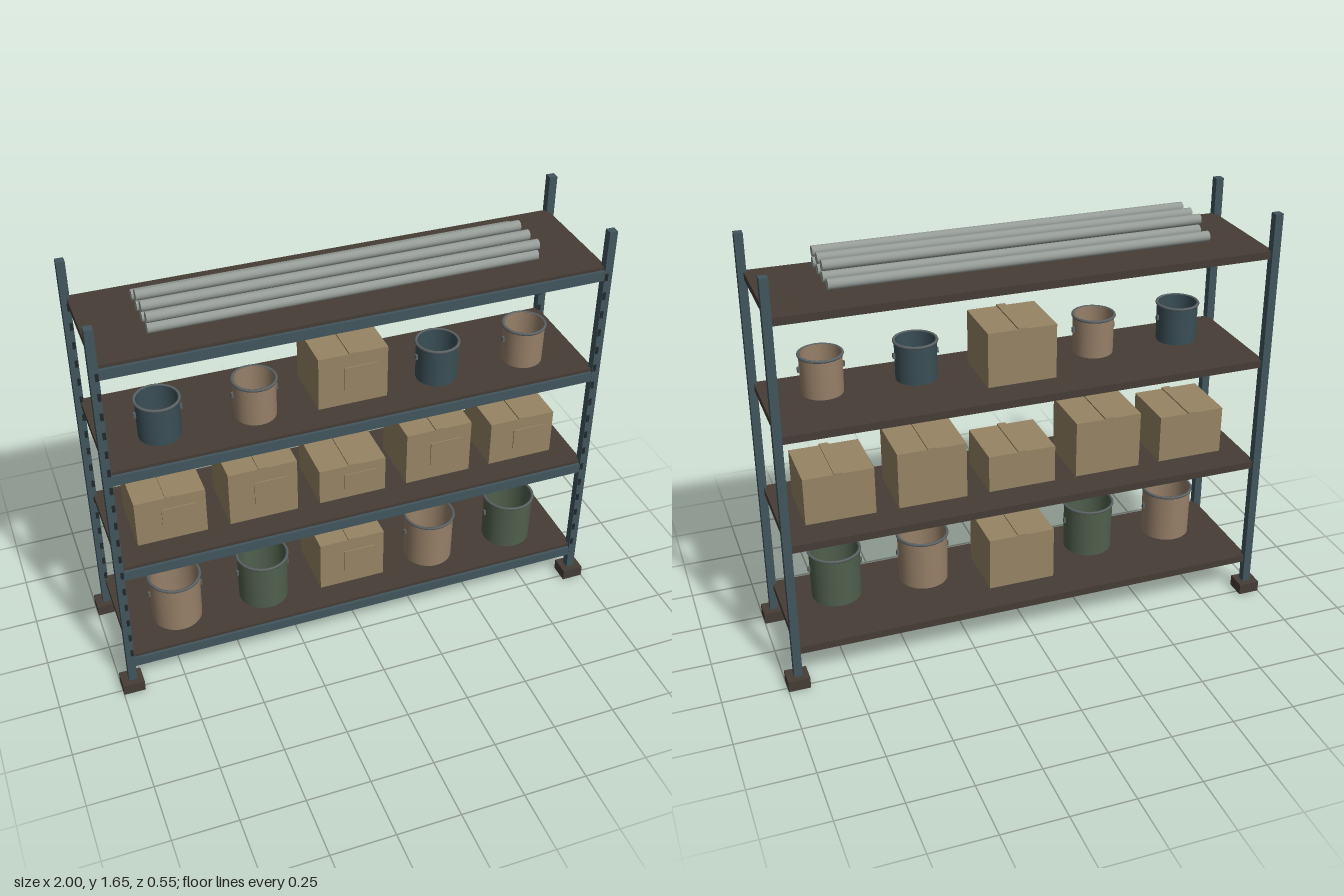
import * as THREE from 'three';

const mat = (name, color, side = THREE.FrontSide) => {
  const m = new THREE.MeshStandardMaterial({ color, side });
  m.name = name;
  return m;
};

export function createModel() {
  const rackBlue = mat('rack blue', 0x41565d);
  const slotDark = mat('slot dark', 0x22282b);
  const deckBrown = mat('deck brown', 0x463d36);
  const cardboard = mat('cardboard', 0x978463);
  const tan = mat('bucket tan', 0x978069);
  const green = mat('bucket green', 0x50604d);
  const blue = mat('bucket blue', 0x3a4f57);
  const steel = mat('steel', 0x959b97);
  const rimGrey = mat('rim grey', 0x5b6264);

  const root = new THREE.Group();
  root.name = 'storageRack';
  const add = (parent, name, geometry, material, x, y, z) => {
    const m = new THREE.Mesh(geometry, material);
    m.name = name;
    m.position.set(x, y, z);
    parent.add(m);
    return m;
  };
  const box = (parent, name, material, w, h, d, x, y, z) =>
    add(parent, name, new THREE.BoxGeometry(w, h, d), material, x, y, z);

  // Four posts with feet and a column of slots on the front face
  for (const sx of [-1, 1]) for (const sz of [-1, 1]) {
    const post = new THREE.Group();
    post.name = 'post';
    post.position.set(sx * 0.955, 0, sz * 0.235);
    root.add(post);
    box(post, 'upright', rackBlue, 0.032, 1.615, 0.032, 0, 0.8475, 0);
    box(post, 'foot', deckBrown, 0.085, 0.045, 0.08, sx * 0.0025, 0.0225, 0);
    for (let y = 0.19; y < 1.5; y += 0.08)
      box(post, 'slot', slotDark, 0.012, 0.03, 0.004, -sx * 0.008, y, 0.0165);
  }

  // Shelf decks with a beam along the front
  const decks = [0.167, 0.614, 1.061, 1.508];
  for (const y of decks) {
    box(root, 'deck', deckBrown, 1.9, 0.03, 0.478, 0, y - 0.015, 0);
    box(root, 'frontBeam', rackBlue, 1.88, 0.04, 0.02, 0, y - 0.033, 0.24);
  }

  // Cardboard box with top tape and a front label
  const carton = (x, y, h) => {
    const g = new THREE.Group();
    g.name = 'carton';
    g.position.set(x, y, 0.0125);
    root.add(g);
    box(g, 'cartonBody', cardboard, 0.272, h, 0.245, 0, h / 2, 0);
    box(g, 'tape', cardboard, 0.035, 0.006, 0.25, 0, h + 0.003, 0);
    box(g, 'label', cardboard, 0.13, h * 0.45, 0.006, 0.03, h * 0.52, 0.1245);
  };
  carton(0, decks[0], 0.222);
  [0.195, 0.232, 0.152, 0.23, 0.192].forEach((h, i) => carton((i - 2) * 0.361, decks[1], h));
  carton(0, decks[2], 0.218);

  // Open bucket with rolled rim and side lugs
  const bucket = (x, y, r, h, material) => {
    const g = new THREE.Group();
    g.name = 'bucket';
    g.position.set(x, y, 0.073);
    root.add(g);
    const t = 0.006;
    const wall = (name, pts) => add(g, name,
      new THREE.LatheGeometry(pts.map(p => new THREE.Vector2(...p)), 32), material, 0, 0, 0);
    wall('bucketBottom', [[0, 0.001], [r * 0.98, 0.001]]);
    wall('bucketWall', [[r * 0.98, 0.001], [r, h]]);
    wall('bucketInside', [[r - t, h], [r - t, 0.015]]);
    wall('bucketFloor', [[r - t, 0.015], [0, 0.015]]);
    const rim = add(g, 'rim', new THREE.TorusGeometry(r, 0.006, 8, 32), rimGrey, 0, h - 0.003, 0);
    rim.rotation.x = Math.PI / 2;
    for (const s of [-1, 1])
      box(g, 'lug', rimGrey, 0.012, 0.02, 0.012, s * (r + 0.002), h * 0.64, 0);
  };
  [[-2, tan, blue], [-1, green, tan], [1, tan, blue], [2, green, tan]].forEach(([i, low, high]) => {
    bucket(i * 0.361, decks[0], 0.101, 0.21, low);
    bucket(i * 0.361, decks[2], 0.081, 0.158, high);
  });

  // Stacked steel rods on the top shelf
  const rod = new THREE.CylinderGeometry(0.02, 0.02, 1.46, 20).rotateZ(Math.PI / 2);
  [0.13, 0.053, -0.024, -0.101].forEach((z, i) => {
    add(root, 'rod', rod, steel, -0.014, 1.547, z);
    if (i < 3) add(root, 'rod', rod, steel, -0.014, 1.589, z);
  });

  return root;
}
